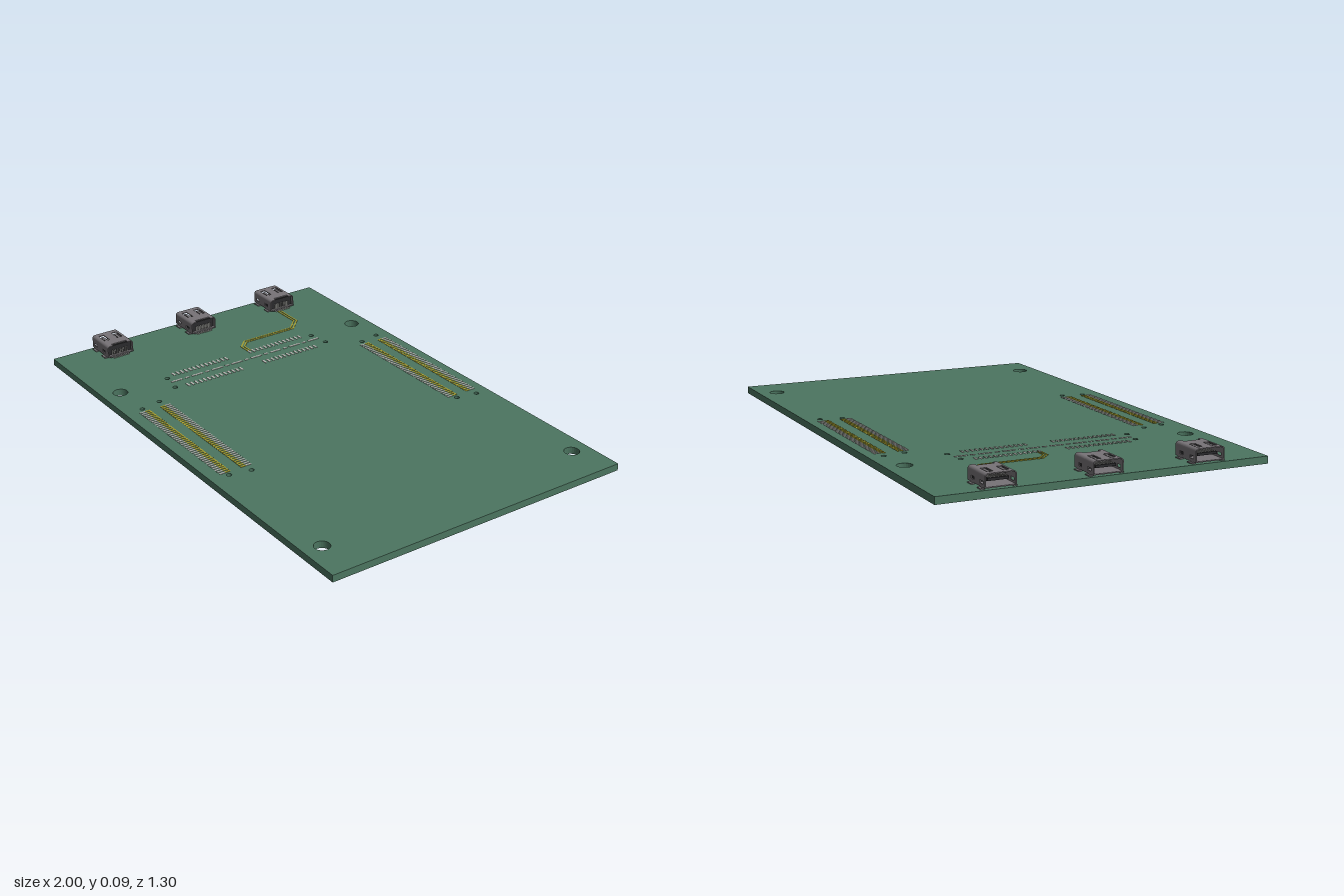
import * as THREE from 'three';
import { mergeGeometries } from 'three/addons/utils/BufferGeometryUtils.js';

const mat = (color) => new THREE.MeshStandardMaterial({ color });
const green = mat(0x4c7560), tin = mat(0xb4b4b0), gold = mat(0xa8a030);
const steel = mat(0x777377), dark = mat(0x2a2a2c);
const TOP = 0.03, BASE = 0.002;

const mesh = (name, geometry, material) => {
  const m = new THREE.Mesh(geometry, material);
  m.name = name;
  return m;
};
const box = (w, h, d, x, y, z) => new THREE.BoxGeometry(w, h, d).translate(x, y, z);
const rectPath = (T, x0, y0, x1, y1) => {
  const p = new T();
  p.moveTo(x0, y0); p.lineTo(x1, y0); p.lineTo(x1, y1); p.lineTo(x0, y1); p.closePath();
  return p;
};
const extrude = (shape, depth) =>
  new THREE.ExtrudeGeometry(shape, { depth, bevelEnabled: false, curveSegments: 12 });

// Board with mounting holes and small locating holes
function board() {
  const s = rectPath(THREE.Shape, -1, -0.65, 1, 0.65);
  const hole = (x, z, r) => s.holes.push(new THREE.Path().absarc(x, z, r, 0, Math.PI * 2, true));
  for (const x of [-0.57, 0.83]) for (const z of [-0.575, 0.573]) hole(x, z, 0.03);
  for (const z of [-0.59, 0.485]) {
    for (const x of [-0.413, 0.257]) hole(x, z, 0.01);
    for (const x of [-0.396, 0.24]) hole(x, z + 0.087, 0.01);
  }
  for (const [x, z] of [[-0.57, -0.36], [-0.484, -0.374], [-0.57, 0.355], [-0.484, 0.369]]) hole(x, z, 0.01);
  return mesh('board', extrude(s, TOP - BASE).rotateX(Math.PI / 2).translate(0, TOP, 0), green);
}

// Contact rows, on the upper and lower faces alike
function contacts() {
  const g = new THREE.Group();
  g.name = 'contacts';
  const grey = [], yellow = [];
  const pad = (list, x, z, w, d) => {
    list.push(box(w, 0.002, d, x, TOP + 0.0005, z), box(w, 0.002, d, x, 0.001, z));
  };
  // Long connector footprints near the two long edges
  for (const zc of [-0.543, 0.53]) {
    for (const side of [-1, 1]) {
      for (let i = 0; i < 40; i++) {
        const x = -0.367 + i * 0.01495;
        pad(grey, x, zc + side * 0.057, 0.008, 0.024);
        pad(yellow, x, zc + side * 0.034, 0.008, 0.022);
      }
      pad(yellow, -0.077, zc + side * 0.027, 0.586, 0.004);
    }
  }
  // Crosswise footprint with a dashed centre line
  for (const z0 of [-0.31, 0.06])
    for (const x of [-0.588, -0.472])
      for (let i = 0; i < 14; i++) pad(grey, x, z0 + i * 0.0196, 0.026, 0.009);
  for (let i = 0; i < 8; i++) {
    const z = -0.343 + i * 0.0965;
    pad(grey, -0.532, z, 0.009, 0.052);
    if (i < 7) pad(grey, -0.532, z + 0.048, 0.009, 0.018);
  }
  g.add(mesh('tinPads', mergeGeometries(grey), tin), mesh('goldPads', mergeGeometries(yellow), gold));
  return g;
}

// Pair of copper tracks with mitred corners
function tracks() {
  const centre = [[-0.865, -0.39], [-0.735, -0.39], [-0.68, -0.335], [-0.68, -0.095], [-0.645, -0.06], [-0.595, -0.06]]
    .map(([x, z]) => new THREE.Vector2(x, z));
  const offset = (o) => centre.map((p, i) => {
    const a = p.clone().sub(centre[Math.max(i - 1, 0)]).normalize();
    const b = centre[Math.min(i + 1, centre.length - 1)].clone().sub(p).normalize();
    if (i === 0) a.copy(b);
    if (i === centre.length - 1) b.copy(a);
    const t = a.clone().add(b).normalize();
    return new THREE.Vector2(-t.y, t.x).multiplyScalar(o / t.dot(a)).add(p);
  });
  const track = (o) => extrude(new THREE.Shape([...offset(o - 0.003), ...offset(o + 0.003).reverse()]), 0.002)
    .rotateX(Math.PI / 2).translate(0, TOP + 0.0015, 0);
  return mesh('tracks', mergeGeometries([track(-0.006), track(0.006)]), gold);
}

// Shielded socket opening over the board edge
function socket(z) {
  const g = new THREE.Group();
  g.name = 'socket';
  const x0 = -1, x1 = -0.865, len = x1 - x0, hw = 0.059, y0 = 0.036, y1 = 0.087, r = 0.012, t = 0.004;
  // Roof with spring windows and a rear notch
  const roof = new THREE.Shape();
  [[x0, -hw + r], [x1, -hw + r], [x1, -0.034], [x1 - 0.016, -0.034], [x1 - 0.016, 0.034],
    [x1, 0.034], [x1, hw - r], [x0, hw - r]].forEach(([x, y], i) => (i ? roof.lineTo(x, y) : roof.moveTo(x, y)));
  for (const s of [-1, 1]) {
    roof.holes.push(rectPath(THREE.Path, -0.978, s * 0.03 - 0.012, -0.925, s * 0.03 + 0.012));
  }
  const shell = [extrude(roof, t).rotateX(Math.PI / 2).translate(0, y1, 0)];
  for (const s of [-1, 1]) {
    // Spring finger in each window
    shell.push(box(0.045, 0.003, 0.011, -0.946, y1 - 0.004, s * 0.03));
    // Side wall with two windows
    const wall = rectPath(THREE.Shape, x0, y0, x1, y1 - r);
    for (const wx of [-0.972, -0.905]) wall.holes.push(rectPath(THREE.Path, wx - 0.012, 0.047, wx + 0.012, 0.058));
    shell.push(extrude(wall, t).translate(0, 0, s > 0 ? hw - t : -hw));
    // Rounded upper edge
    const a = s > 0 ? 0 : Math.PI / 2;
    const edge = new THREE.Shape();
    edge.absarc(s * (hw - r), y1 - r, r, a, a + Math.PI / 2, false);
    edge.absarc(s * (hw - r), y1 - r, r - t, a + Math.PI / 2, a, true);
    shell.push(extrude(edge, len).rotateY(Math.PI / 2).translate(x0, 0, 0));
    // Solder tabs on the board and legs up to the shell
    for (const tx of [-0.972, -0.895]) {
      shell.push(box(0.03, 0.004, 0.016, tx, TOP + 0.002, s * 0.06));
      shell.push(box(0.022, 0.012, 0.004, tx, 0.037, s * 0.057));
    }
  }
  shell.push(box(len, t, 2 * hw, (x0 + x1) / 2, y0 + t / 2, 0));
  g.add(mesh('shell', mergeGeometries(shell.map((s) => s.toNonIndexed ? (s.index ? s.toNonIndexed() : s) : s)), steel));
  // Insulator, tongue and rear contact legs
  g.add(mesh('insulator', mergeGeometries([
    box(0.045, 0.04, 0.108, -0.9, 0.06, 0),
    box(0.06, 0.01, 0.08, -0.95, 0.06, 0),
    box(0.1, 0.007, 0.09, -0.92, 0.0335, 0),
  ]), dark));
  const legs = [];
  for (let i = 0; i < 10; i++) {
    const pz = (i - 4.5) * 0.0076;
    legs.push(box(0.004, 0.032, 0.0035, -0.873, 0.046, pz), box(0.016, 0.003, 0.0035, -0.867, 0.0315, pz));
    legs.push(box(0.045, 0.002, 0.0035, -0.952, 0.066, pz));
  }
  g.add(mesh('contactLegs', mergeGeometries(legs), tin));
  g.position.z = z;
  return g;
}

export function createModel() {
  const model = new THREE.Group();
  model.name = 'circuitBoard';
  model.add(board(), contacts(), tracks());
  for (const z of [-0.41, -0.003, 0.405]) model.add(socket(z));
  return model;
}
